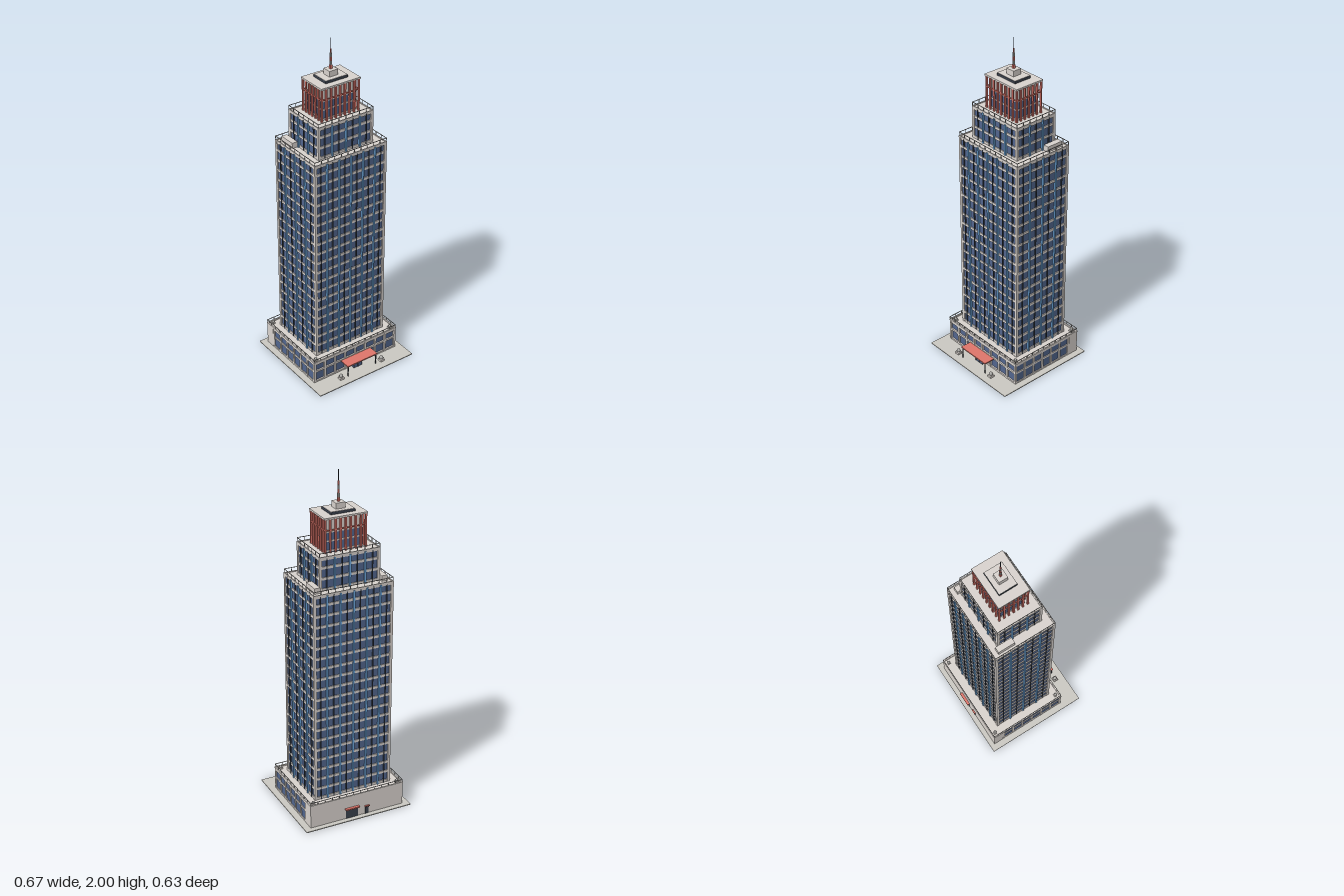
import * as THREE from 'three';

const mat = (name, color) => {
  const m = new THREE.MeshStandardMaterial({ color });
  m.name = name;
  return m;
};

export function createModel() {
  const M = {
    stone: mat('pale stone', 0xd9d3ce),
    paving: mat('paving', 0xcbc9c2),
    glass: mat('blue glass', 0x52668e),
    fin: mat('light blue fin', 0x6fa9de),
    dark: mat('dark metal', 0x3a414c),
    red: mat('red', 0xdf766b),
    grey: mat('grey metal', 0xaaa9a6),
  };
  const root = new THREE.Group();
  root.name = 'skyscraper';

  // box standing on height y
  const box = (parent, name, m, w, h, d, x, y, z) => {
    const mesh = new THREE.Mesh(new THREE.BoxGeometry(w, h, d), m);
    mesh.name = name;
    mesh.position.set(x, y + h / 2, z);
    parent.add(mesh);
  };
  const group = (name, parent = root, z = 0) => {
    const g = new THREE.Group();
    g.name = name;
    g.position.z = z;
    parent.add(g);
    return g;
  };
  const CZ = -0.044;

  // hollow rectangular rim: w, d are outer sizes
  const rim = (g, name, m, w, d, y, h, t) => {
    for (const s of [-1, 1]) {
      box(g, name, m, w, h, t, 0, y, s * (d - t) / 2);
      box(g, name, m, t, h, d - 2 * t, s * (w - t) / 2, y, 0);
    }
  };

  // guard rail around a roof
  const railing = (parent, w, d, y, h) => {
    const g = group('railing', parent);
    rim(g, 'topRail', M.grey, w, d, y + h - 0.003, 0.003, 0.003);
    const nx = Math.round(w / 0.045), nz = Math.round(d / 0.045), p = 0.003;
    for (const s of [-1, 1]) {
      for (let i = 0; i <= nx; i++) box(g, 'railPost', M.grey, p, h, p, (i / nx - 0.5) * (w - p), y, s * (d - p) / 2);
      for (let i = 1; i < nz; i++) box(g, 'railPost', M.grey, p, h, p, s * (w - p) / 2, y, (i / nz - 0.5) * (d - p));
    }
  };

  // glazed block with floor bands, corner piers, mullions, fins and a stone roof
  const tier = (name, w, d, y, floors, fh, nx, nz) => {
    const g = group(name, root, CZ), H = floors * fh;
    box(g, 'glassCore', M.glass, w - 0.014, H - 0.004, d - 0.014, 0, y, 0);
    for (let i = 0; i < floors; i++)
      box(g, 'floorBand', M.stone, w - 0.004, 0.015, d - 0.004, 0, y + i * fh, 0);
    box(g, 'roofSlab', M.stone, w - 0.002, 0.015, d - 0.002, 0, y + H - 0.012, 0);
    for (const sx of [-1, 1]) for (const sz of [-1, 1])
      box(g, 'cornerPier', M.stone, 0.016, H, 0.016, sx * (w / 2 - 0.008), y, sz * (d / 2 - 0.008));
    for (const s of [-1, 1]) {
      for (let i = 1; i < 2 * nx; i++) {
        const x = (i / (2 * nx) - 0.5) * w;
        if (i % 2) box(g, 'mullion', M.dark, 0.005, H - 0.002, 0.008, x, y, s * (d / 2 - 0.004));
        else box(g, 'fin', M.fin, 0.01, H - 0.002, 0.01, x, y, s * (d / 2 - 0.001));
      }
      for (let i = 1; i < 2 * nz; i++) {
        const z = (i / (2 * nz) - 0.5) * d;
        if (i % 2) box(g, 'mullion', M.dark, 0.008, H - 0.002, 0.005, s * (w / 2 - 0.004), y, z);
        else box(g, 'fin', M.fin, 0.01, H - 0.002, 0.01, s * (w / 2 - 0.001), y, z);
      }
    }
    rim(g, 'parapet', M.stone, w, d, y + H, 0.008, 0.006);
    railing(g, w - 0.002, d - 0.002, y + H + 0.008, 0.022);
  };

  // ground slab
  box(root, 'groundSlab', M.paving, 0.666, 0.005, 0.633, 0, 0, -0.0015);

  // podium
  const pod = group('podium', root, CZ);
  const PW = 0.588, PD = 0.488;
  box(pod, 'podiumGlass', M.glass, PW - 0.012, 0.13, PD - 0.02, 0, 0.005, 0);
  box(pod, 'backBlock', M.stone, PW, 0.134, 0.062, 0, 0.005, -PD / 2 + 0.031);
  for (const [y, h] of [[0.005, 0.01], [0.073, 0.012], [0.126, 0.014]])
    box(pod, 'podiumBand', M.stone, PW - 0.002, h, PD - 0.002, 0, y, 0);
  for (let i = 0; i <= 8; i++)
    box(pod, 'frontPier', M.stone, 0.013, 0.134, 0.012, (i / 8 - 0.5) * (PW - 0.013), 0.005, PD / 2 - 0.006);
  for (const s of [-1, 1]) for (let i = 0; i <= 6; i++)
    box(pod, 'sidePier', M.stone, 0.012, 0.134, 0.013, s * (PW / 2 - 0.006), 0.005, -PD / 2 + 0.07 + (i / 6) * (PD - 0.077));
  rim(pod, 'podiumParapet', M.stone, PW + 0.004, PD + 0.002, 0.138, 0.01, 0.008);
  railing(pod, PW, PD, 0.148, 0.018);

  // rounded shrub in a square pot
  const planter = (x, y, z, s) => {
    const g = group('planter');
    g.position.set(x, y, z);
    box(g, 'pot', M.stone, s, s * 0.45, s, 0, 0, 0);
    const shrub = new THREE.Mesh(new THREE.SphereGeometry(s * 0.43, 8, 6), M.grey);
    shrub.name = 'shrub';
    shrub.position.y = s * 0.75;
    g.add(shrub);
  };
  for (const s of [-1, 1]) {
    planter(s * 0.267, 0.14, -0.265, 0.02);
    planter(s * 0.267, 0.14, 0.175, 0.02);
    planter(s * 0.146, 0.005, 0.257, 0.028);
  }

  // main entrance
  const ent = group('entrance');
  box(ent, 'canopy', M.red, 0.213, 0.006, 0.068, 0, 0.075, 0.234);
  box(ent, 'canopySoffit', M.stone, 0.209, 0.003, 0.066, 0, 0.072, 0.234);
  box(ent, 'vestibule', M.glass, 0.056, 0.05, 0.022, 0, 0.005, 0.211);
  box(ent, 'vestibuleRoof', M.dark, 0.062, 0.004, 0.025, 0, 0.055, 0.2115);
  for (const x of [-0.028, 0, 0.028]) box(ent, 'doorFrame', M.dark, 0.004, 0.05, 0.004, x, 0.005, 0.222);
  for (const s of [-1, 1]) box(ent, 'canopyPost', M.dark, 0.005, 0.068, 0.005, s * 0.1, 0.005, 0.262);

  // service doors at the back
  const srv = group('serviceEntrances');
  box(srv, 'loadingDoor', M.dark, 0.076, 0.052, 0.005, 0.034, 0.005, -0.288);
  box(srv, 'loadingCanopy', M.red, 0.088, 0.008, 0.017, 0.034, 0.064, -0.2955);
  box(srv, 'backDoor', M.dark, 0.022, 0.042, 0.005, -0.062, 0.005, -0.288);
  box(srv, 'backDoorCanopy', M.red, 0.03, 0.005, 0.01, -0.062, 0.053, -0.292);

  // shaft and upper setback
  tier('mainShaft', 0.48, 0.376, 0.14, 20, 0.0622, 6, 4);
  tier('upperTier', 0.364, 0.278, 1.387, 3, 0.062, 4, 3);
  for (const s of [-1, 1]) box(root, 'roofUnit', M.stone, 0.034, 0.034, 0.102, s * 0.201, 1.385, -0.148);

  // crown with a red colonnade
  const crown = group('crown', root, CZ);
  const CW = 0.25, CD = 0.182, CY = 1.574;
  box(crown, 'crownGlass', M.glass, 0.214, 0.116, 0.148, 0, CY, 0);
  box(crown, 'crownWall', M.stone, 0.216, 0.075, 0.15, 0, 1.69, 0);
  for (const y of [1.58, 1.635, 1.685]) box(crown, 'crownBand', M.stone, 0.219, 0.008, 0.153, 0, y, 0);
  for (const s of [-1, 1]) {
    for (let i = 0; i <= 8; i++)
      box(crown, 'redColumn', M.red, 0.01, 0.19, 0.009, (i / 8 - 0.5) * (CW - 0.01), CY, s * (CD / 2 - 0.0045));
    for (let i = 1; i < 6; i++)
      box(crown, 'redColumn', M.red, 0.009, 0.19, 0.01, s * (CW / 2 - 0.0045), CY, (i / 6 - 0.5) * (CD - 0.01));
  }
  rim(crown, 'redRing', M.red, CW - 0.001, CD - 0.001, 1.7, 0.006, 0.005);
  box(crown, 'crownRoof', M.stone, 0.256, 0.01, 0.188, 0, 1.764, 0);
  box(crown, 'roofStep', M.dark, 0.144, 0.014, 0.11, 0, 1.774, 0);
  box(crown, 'roofStepTop', M.stone, 0.142, 0.003, 0.108, 0, 1.787, 0);
  box(crown, 'mastBase', M.stone, 0.056, 0.034, 0.054, 0, 1.789, 0);

  // banded mast
  const mast = group('mast', crown);
  for (let i = 0; i < 5; i++)
    box(mast, 'mastSegment', i % 2 ? M.grey : M.red, 0.012 - i * 0.0014, 0.023, 0.012 - i * 0.0014, 0, 1.822 + i * 0.023, 0);
  box(mast, 'mastTip', M.dark, 0.003, 0.063, 0.003, 0, 1.937, 0);

  return root;
}
